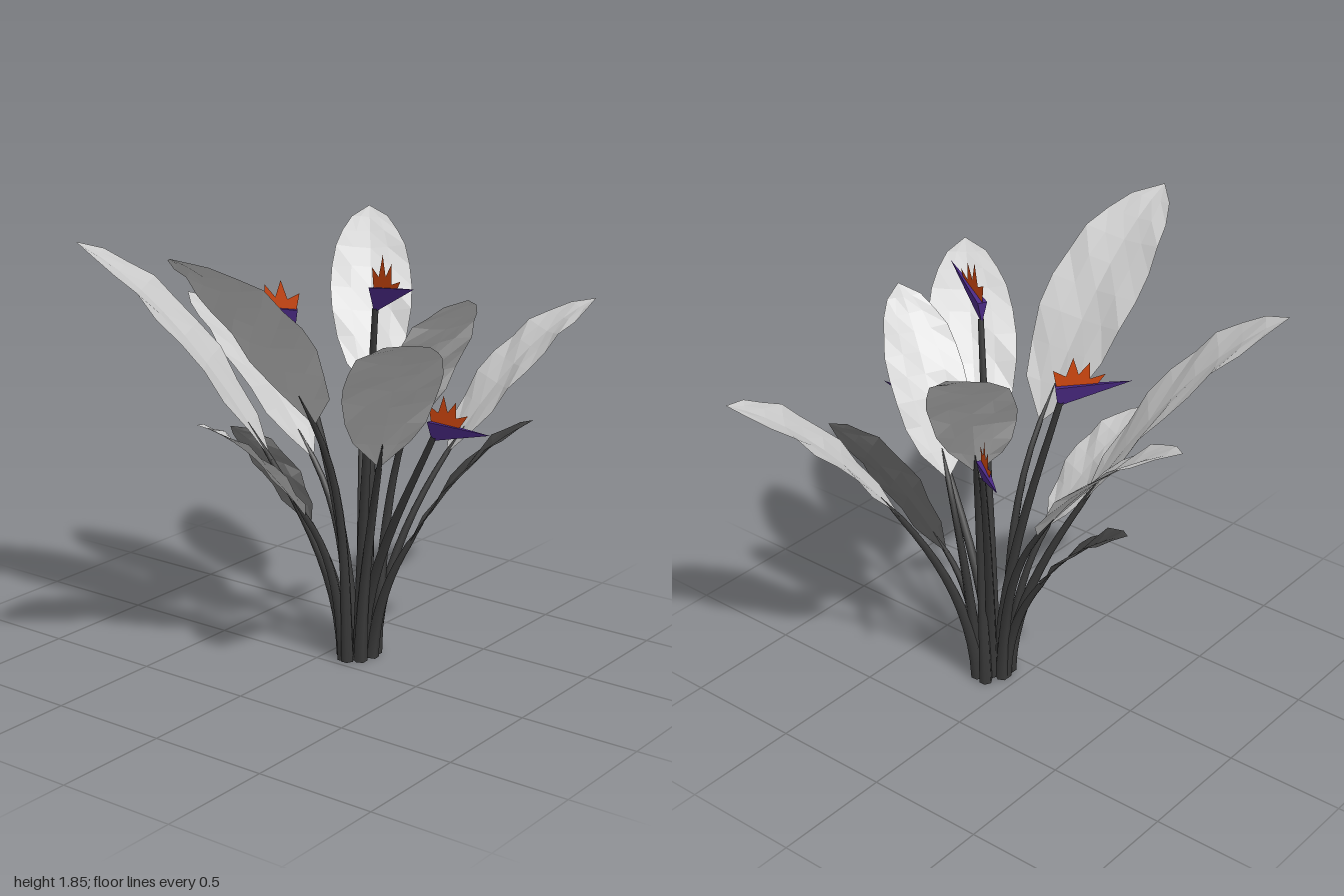
import * as THREE from 'three';
import { ConvexGeometry } from 'three/addons/geometries/ConvexGeometry.js';

const V = (x, y, z) => new THREE.Vector3(x, y, z);
const UP = V(0, 1, 0);
const CENTRE = V(0.135, 0, 0.12);

const stalkGrey = new THREE.MeshStandardMaterial({ color: 0x3a3a3a });
const leafGrey = new THREE.MeshStandardMaterial({ color: 0xcccccc, flatShading: true, side: THREE.DoubleSide });
const leafDark = new THREE.MeshStandardMaterial({ color: 0x444444, flatShading: true, side: THREE.DoubleSide });
const purple = new THREE.MeshStandardMaterial({ color: 0x4b2a86, flatShading: true });
const orange = new THREE.MeshStandardMaterial({ color: 0xd2480f, flatShading: true, side: THREE.DoubleSide });

// Blades: base of blade, tip, half width, material
const LEAVES = [
  [[-0.18, 1.07, 0.125], [-1.0, 1.86, 0.115], 0.215, leafGrey],
  [[-0.07, 0.85, -0.18], [-0.47, 1.73, -0.85], 0.21, leafGrey],
  [[0.175, 0.8, -0.15], [0.18, 1.42, -0.83], 0.16, leafGrey],
  [[0.31, 1.08, 0.05], [0.75, 1.77, -0.29], 0.17, leafGrey],
  [[0.46, 0.84, 0.32], [1.0, 1.45, 0.69], 0.17, leafGrey],
  [[-0.03, 0.9, 0.33], [-0.56, 1.57, 0.84], 0.185, leafGrey],
  [[0.25, 0.95, 0.25], [0.03, 1.61, 0.69], 0.16, leafGrey],
  [[0.17, 0.53, 0.34], [0.38, 1.08, 0.78], 0.13, leafDark],
  [[-0.1, 0.65, 0.02], [-0.53, 1.1, -0.18], 0.125, leafGrey],
  [[0.12, 0.53, -0.12], [0.08, 0.9, -0.52], 0.11, leafDark],
];

// Flowers: base of beak, tip of beak
const FLOWERS = [
  [[-0.03, 1.52, 0.3], [-0.17, 1.67, 0.58]],
  [[0.09, 1.36, -0.18], [-0.09, 1.47, -0.4]],
  [[0.44, 1.16, -0.09], [0.6, 1.25, -0.3]],
  [[0.01, 1.04, 0.55], [0.0, 1.11, 0.82]],
];

// Jagged outline of the petal fan (forward, up), for a beak of length 1
const FAN = [[0.02, 0.05], [-0.06, 0.5], [0.1, 0.42], [0.19, 0.68], [0.26, 0.45],
  [0.4, 0.62], [0.4, 0.39], [0.6, 0.46], [0.45, 0.25]];

function mesh(name, geometry, material) {
  const m = new THREE.Mesh(geometry, material);
  m.name = name;
  return m;
}

// Tube that narrows from r0 to r1
function taperedTube(curve, r0, r1, segments = 10, sides = 6) {
  const geo = new THREE.TubeGeometry(curve, segments, 1, sides);
  const pos = geo.attributes.position, p = V(0, 0, 0);
  for (let i = 0; i <= segments; i++) {
    const c = curve.getPointAt(i / segments);
    const r = THREE.MathUtils.lerp(r0, r1, Math.pow(i / segments, 0.8));
    for (let j = 0; j <= sides; j++) {
      const k = i * (sides + 1) + j;
      p.fromBufferAttribute(pos, k).sub(c).multiplyScalar(r).add(c);
      pos.setXYZ(k, p.x, p.y, p.z);
    }
  }
  return geo;
}

// Stalk rising from the clump (spread = distance of its root from the middle)
function stalk(end, direction, spread, r0, r1) {
  const out = end.clone().sub(CENTRE).setY(0).normalize();
  const root = CENTRE.clone().add(V(out.x * spread, 0.008, out.z * spread * 0.65));
  const rise = root.clone().add(V(out.x * 0.02, end.y * 0.38, out.z * 0.02));
  const arrive = end.clone().addScaledVector(direction, -end.y * 0.35);
  return mesh('stalk', taperedTube(new THREE.CubicBezierCurve3(root, rise, arrive, end), r0, r1), stalkGrey);
}

// Arched, slightly rippled blade with a shallow fold along its midrib
function bladeGeometry(midrib, side, halfWidth) {
  const rows = 9, cols = 4, pos = [], index = [];
  for (let i = 0; i <= rows; i++) {
    const t = i / rows;
    const c = midrib.getPoint(t);
    const normal = side.clone().cross(midrib.getTangent(t)).normalize();
    if (normal.y < 0) normal.negate();
    const w = halfWidth * Math.pow(Math.max(0, Math.sin(Math.PI * Math.pow(t, 0.84))), 0.65);
    for (let j = 0; j <= cols; j++) {
      const s = (j / cols) * 2 - 1;
      const ripple = 0.011 * Math.sin(i * 2.3 + j * 1.7) * (w / halfWidth);
      const lift = Math.abs(s) * (w * 0.12 + ripple);
      const p = c.clone().addScaledVector(side, s * w).addScaledVector(normal, lift);
      pos.push(p.x, p.y, p.z);
      if (i < rows && j < cols) {
        const a = i * (cols + 1) + j, b = a + cols + 1;
        index.push(a, a + 1, b, a + 1, b + 1, b);
      }
    }
  }
  const geo = new THREE.BufferGeometry();
  geo.setAttribute('position', new THREE.Float32BufferAttribute(pos, 3));
  geo.setIndex(index);
  geo.computeVertexNormals();
  return geo;
}

function makeLeaf([b, t, halfWidth, material]) {
  const g = new THREE.Group();
  g.name = 'leaf';
  const base = V(...b), tip = V(...t);
  const bend = base.clone().lerp(tip, 0.5);
  bend.y += base.distanceTo(tip) * 0.2;
  const midrib = new THREE.QuadraticBezierCurve3(base, bend, tip);
  const side = tip.clone().sub(base).setY(0).cross(UP).normalize();
  g.add(mesh('blade', bladeGeometry(midrib, side, halfWidth), material));
  g.add(stalk(base, midrib.getTangent(0), 0.085, 0.029, 0.012));
  // Short rib carrying the stalk into the blade
  const rib = new THREE.LineCurve3(base, midrib.getPoint(0.12));
  g.add(mesh('midrib', taperedTube(rib, 0.012, 0.002, 2), stalkGrey));
  return g;
}

function makeFlower([b, t]) {
  const g = new THREE.Group();
  g.name = 'flower';
  const base = V(...b), tip = V(...t);
  const forward = tip.clone().sub(base);
  const size = forward.length();
  forward.setY(0).normalize();
  const side = forward.clone().cross(UP);
  const at = (f, u, s) => base.clone().addScaledVector(forward, f).addScaledVector(UP, u).addScaledVector(side, s);

  // Slim pointed beak
  const beak = [base, tip, at(-0.01, size * 0.28, 0.02), at(-0.01, size * 0.28, -0.02)];
  g.add(mesh('beak', new ConvexGeometry(beak), purple));

  // Flat fan of petals standing in the beak
  const outline = FAN.map(([f, u]) => new THREE.Vector2(f * size, u * size));
  const fan = new THREE.ShapeGeometry(new THREE.Shape(outline));
  fan.applyMatrix4(new THREE.Matrix4().makeBasis(forward, UP, side).setPosition(base));
  g.add(mesh('petals', fan, orange));

  const lean = base.clone().sub(CENTRE).setY(0).multiplyScalar(1.3).add(V(0, base.y, 0)).normalize();
  g.add(stalk(at(0.01, 0.02, 0), lean, 0.035, 0.027, 0.012));
  return g;
}

export function createModel() {
  const plant = new THREE.Group();
  plant.name = 'floweringPlant';
  LEAVES.forEach((l) => plant.add(makeLeaf(l)));
  FLOWERS.forEach((f) => plant.add(makeFlower(f)));
  return plant;
}
